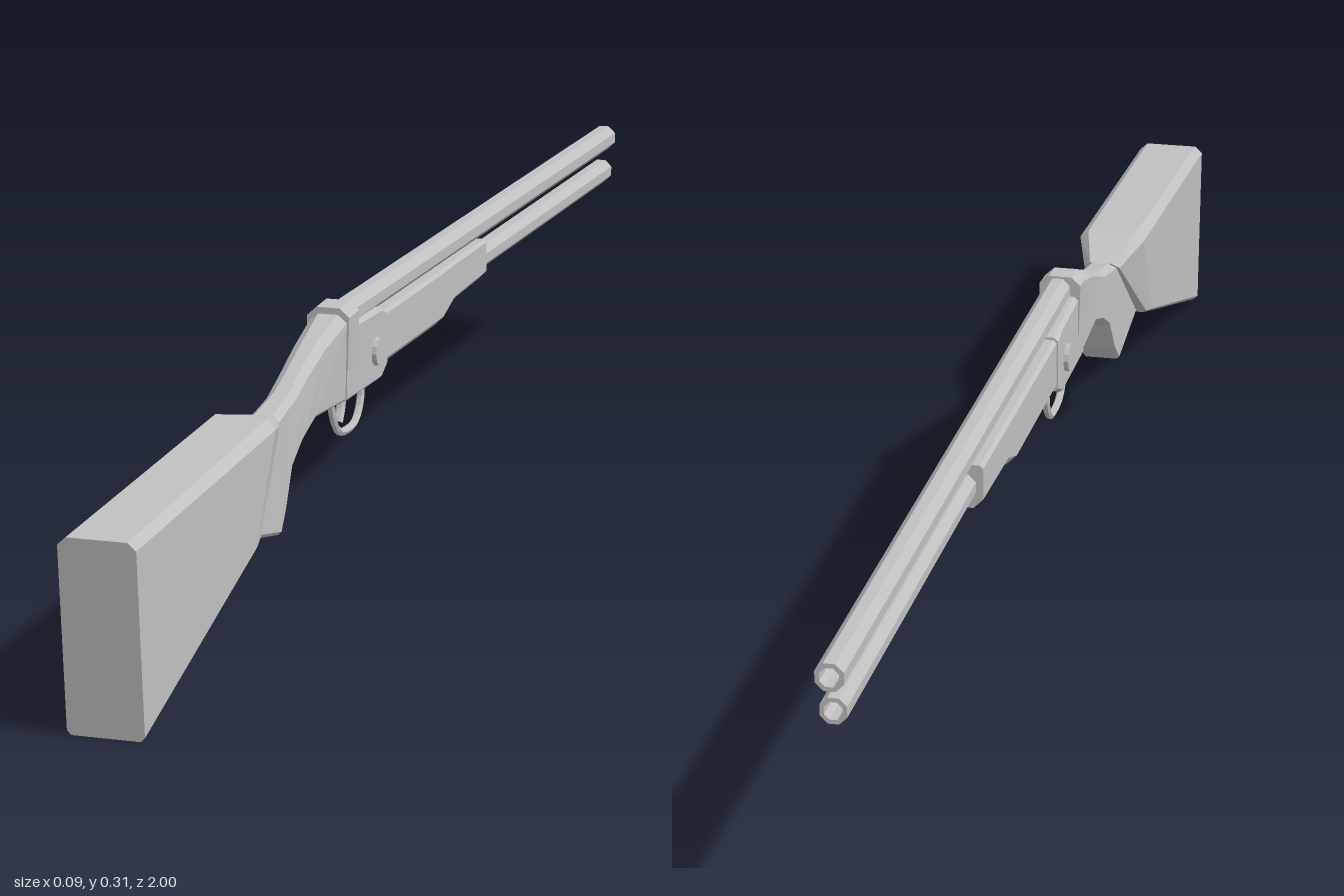
import * as THREE from 'three';

const steel = new THREE.MeshStandardMaterial({ color: 0xc0c0c0 });
steel.name = 'plain grey';

// Faceted normals for every part
function flat(geometry) {
  const g = geometry.index ? geometry.toNonIndexed() : geometry;
  g.computeVertexNormals();
  return g;
}

// Eight-sided cross-section: upper and lower centre points, half widths, corner cuts
function ring([zTop, yTop, zBot, yBot, wTop, wBot, cTop, cBot]) {
  const h = yTop - yBot;
  const right = [[wBot - cBot, 0], [wBot, cBot], [wTop, h - cTop], [wTop - cTop * 1.1, h]];
  const left = right.map(([x, y]) => [-x, y]).reverse();
  return right.concat(left).map(([x, y]) => [x, yBot + y, zBot + (zTop - zBot) * (y / h)]);
}

// Skin over cross-sections ordered from the butt towards the muzzle
function loft(sections) {
  const rings = sections.map(ring);
  const out = [];
  const tri = (a, b, c) => out.push(...a, ...b, ...c);
  for (let i = 0; i < rings.length - 1; i++) {
    for (let j = 0; j < 8; j++) {
      const k = (j + 1) % 8;
      const [a, b, c, d] = [rings[i][j], rings[i][k], rings[i + 1][k], rings[i + 1][j]];
      tri(a, d, c);
      tri(a, c, b);
    }
  }
  const last = rings[rings.length - 1];
  for (let j = 1; j < 7; j++) {
    tri(rings[0][0], rings[0][j], rings[0][j + 1]);
    tri(last[0], last[j + 1], last[j]);
  }
  const g = new THREE.BufferGeometry();
  g.setAttribute('position', new THREE.Float32BufferAttribute(out, 3));
  return flat(g);
}

// Octagonal tube along z with a hollow muzzle
function pipe(r, zBack, zFront) {
  const len = zBack - zFront, inner = r * 0.68;
  const profile = [[0, 0], [r, 0], [r, len], [inner, len], [inner, len - 0.08], [0, len - 0.08]]
    .map(([x, y]) => new THREE.Vector2(x, y));
  const g = new THREE.LatheGeometry(profile, 8);
  g.rotateY(Math.PI / 8).rotateX(-Math.PI / 2).translate(0, 0, zBack);
  return flat(g);
}

export function createModel() {
  const model = new THREE.Group();
  const add = (name, geometry, x = 0, y = 0, z = 0) => {
    const mesh = new THREE.Mesh(geometry, steel);
    mesh.name = name;
    mesh.position.set(x, y, z);
    model.add(mesh);
    return mesh;
  };

  // Shoulder stock, narrowing where it meets the grip
  add('stock', loft([
    [1.0, 0.23, 0.98, 0.003, 0.045, 0.045, 0.009, 0.005],
    [0.545, 0.255, 0.62, 0.117, 0.044, 0.044, 0.011, 0.005],
    [0.47, 0.238, 0.598, 0.123, 0.024, 0.04, 0.009, 0.005],
  ]));

  // Curved grip rising into the rear of the receiver
  add('grip', loft([
    [0.475, 0.237, 0.598, 0.123, 0.02, 0.026, 0.008, 0.004],
    [0.45, 0.242, 0.48, 0.098, 0.019, 0.025, 0.008, 0.004],
    [0.43, 0.246, 0.458, 0.12, 0.018, 0.023, 0.008, 0.004],
    [0.405, 0.25, 0.43, 0.165, 0.018, 0.021, 0.008, 0.004],
    [0.36, 0.268, 0.39, 0.187, 0.018, 0.02, 0.009, 0.004],
    [0.3, 0.29, 0.34, 0.204, 0.02, 0.02, 0.01, 0.004],
    [0.235, 0.307, 0.235, 0.199, 0.024, 0.022, 0.01, 0.004],
  ]));

  // Receiver block with the raised collar behind the barrel
  add('receiver', loft([
    [0.235, 0.292, 0.235, 0.199, 0.024, 0.024, 0.005, 0.004],
    [0.1, 0.288, 0.1, 0.197, 0.024, 0.024, 0.005, 0.004],
    [0.075, 0.28, 0.075, 0.208, 0.023, 0.023, 0.005, 0.004],
  ]));
  add('breechCollar', loft([
    [0.235, 0.315, 0.235, 0.235, 0.027, 0.025, 0.011, 0.004],
    [0.197, 0.317, 0.197, 0.235, 0.027, 0.025, 0.011, 0.004],
  ]));

  // Hinge pin showing on both sides
  const pin = new THREE.CylinderGeometry(0.018, 0.018, 0.06, 12);
  add('hingePin', flat(pin.rotateZ(Math.PI / 2)), 0, 0.237, 0.122);

  // Fore-end, deeper at the rear and stepped up in front
  add('foreEnd', loft([
    [0.085, 0.277, 0.085, 0.205, 0.021, 0.021, 0.004, 0.012],
    [-0.165, 0.278, -0.165, 0.205, 0.021, 0.021, 0.004, 0.012],
    [-0.215, 0.279, -0.215, 0.221, 0.021, 0.021, 0.004, 0.012],
    [-0.355, 0.28, -0.355, 0.225, 0.021, 0.021, 0.004, 0.012],
  ]));

  // Barrel above, tube below
  add('barrel', pipe(0.0175, 0.21, -1.0), 0.003, 0.298);
  add('lowerTube', pipe(0.0165, 0.05, -0.985), 0.003, 0.252);

  // Trigger guard bow
  const bow = new THREE.CatmullRomCurve3([
    [0.203, 0.228], [0.172, 0.217], [0.152, 0.198], [0.146, 0.165],
    [0.15, 0.132], [0.17, 0.113], [0.203, 0.108],
  ].map(([y, z]) => new THREE.Vector3(0, y, z)));
  const guard = new THREE.TubeGeometry(bow, 14, 0.005, 6);
  add('triggerGuard', flat(guard));

  // Curved trigger
  const lever = new THREE.CatmullRomCurve3([
    [0.203, 0.185], [0.182, 0.187], [0.163, 0.198],
  ].map(([y, z]) => new THREE.Vector3(0, y, z)));
  add('trigger', flat(new THREE.TubeGeometry(lever, 5, 0.006, 6)));

  return model;
}
